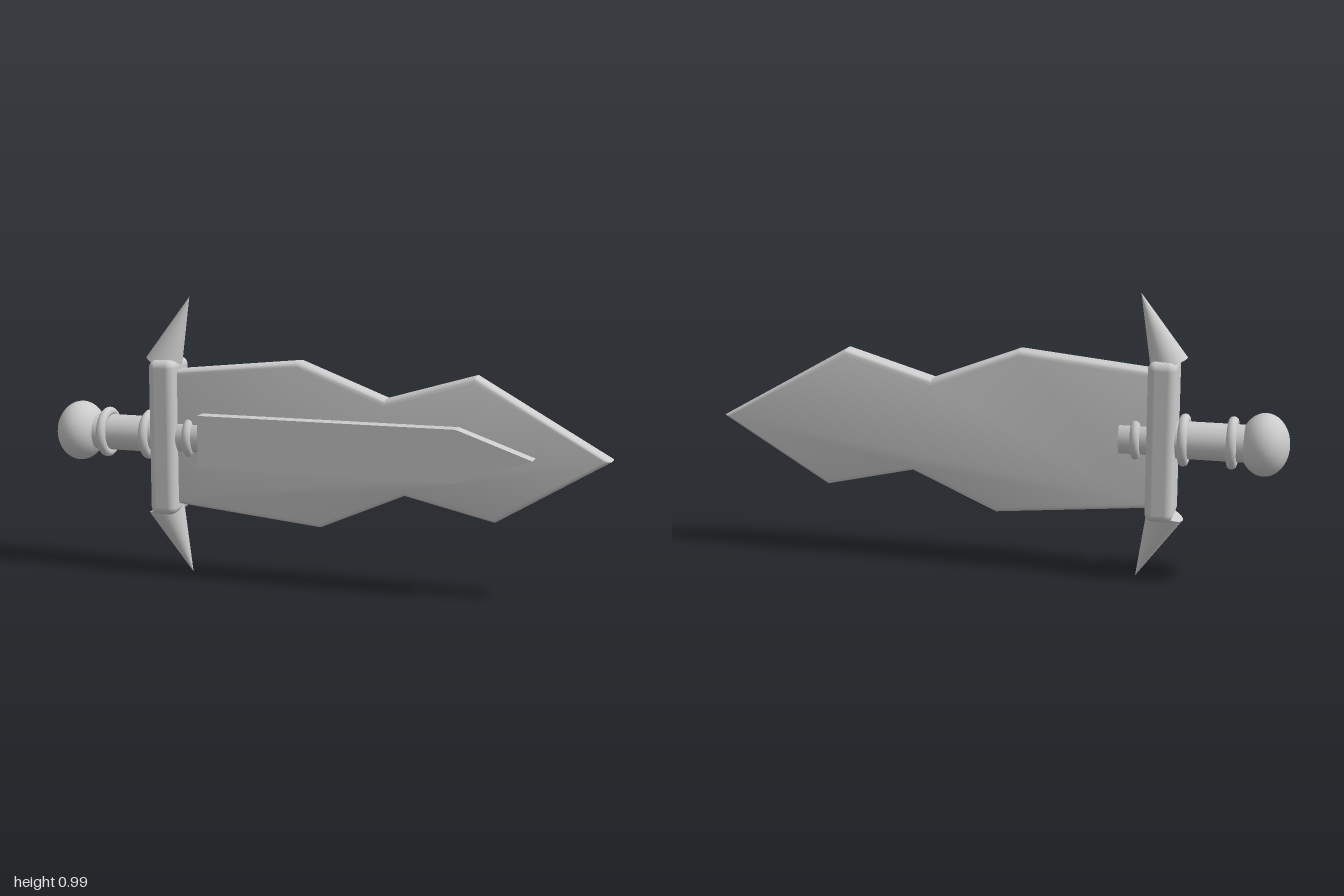
import * as THREE from 'three';
import { toCreasedNormals } from 'three/addons/utils/BufferGeometryUtils.js';
import { RoundedBoxGeometry } from 'three/addons/geometries/RoundedBoxGeometry.js';

const MID = 0.5; // height of the long axis

export function createModel() {
  const group = new THREE.Group();
  const material = new THREE.MeshStandardMaterial({ color: 0xcccccc });

  const add = (name, geometry, x = 0, y = 0, z = 0) => {
    const mesh = new THREE.Mesh(geometry, material);
    mesh.name = name;
    mesh.position.set(x, y, z);
    group.add(mesh);
    return mesh;
  };
  const outline = (points) => new THREE.Shape(points.map(([x, y]) => new THREE.Vector2(x, y)));

  // Blade: notched leaf outline with softly rounded edges
  const bladeShape = outline([
    [-0.56, 0.262], [0, 0.208], [0.3, 0.34], [0.615, 0.268], [1, 0.5],
    [0.54, 0.762], [0.23, 0.67], [-0.08, 0.788], [-0.56, 0.738],
  ]);
  const bevel = 0.018;
  const blade = new THREE.ExtrudeGeometry(bladeShape, {
    depth: 0.08 - 2 * bevel, bevelEnabled: true, bevelSize: bevel,
    bevelThickness: bevel, bevelOffset: -bevel, bevelSegments: 4,
  });
  add('blade', toCreasedNormals(blade, 0.5), 0, 0, -0.04 + bevel);

  // Raised pointed panel on the front of the blade
  const panelShape = outline([
    [-0.43, 0.408], [0.49, 0.408], [0.75, 0.5], [0.49, 0.592], [-0.43, 0.592],
  ]);
  add('bladePanel', new THREE.ExtrudeGeometry(panelShape, { depth: 0.095, bevelEnabled: false }));

  // Crossguard bar
  add('guard', new RoundedBoxGeometry(0.097, 0.555, 0.166, 4, 0.028), -0.574, MID, 0);

  // Guard spikes, leaning towards the blade, mirrored top and bottom
  for (const side of [1, -1]) {
    const base = new THREE.Vector3(-0.59, MID + side * 0.258, 0);
    const tip = new THREE.Vector3(-0.49, MID + side * 0.497, 0);
    const axis = tip.clone().sub(base);
    const spike = add(side > 0 ? 'upperSpike' : 'lowerSpike',
      new THREE.ConeGeometry(0.066, axis.length(), 32));
    spike.position.copy(base).add(tip).multiplyScalar(0.5);
    spike.quaternion.setFromUnitVectors(new THREE.Vector3(0, 1, 0), axis.normalize());
  }

  // Grip, passing through the guard into the root of the blade
  const grip = new THREE.CylinderGeometry(0.064, 0.064, 0.47, 24).rotateZ(Math.PI / 2);
  add('grip', grip, -0.665, MID, 0);

  // Collar rings around the grip
  for (const [x, radius] of [[-0.81, 0.073], [-0.647, 0.073], [-0.486, 0.062]]) {
    add('collarRing', new THREE.TorusGeometry(radius, 0.017, 12, 40).rotateY(Math.PI / 2), x, MID, 0);
  }

  // Pommel: ball flattened along the grip
  const pommel = new THREE.SphereGeometry(0.107, 32, 20).rotateZ(Math.PI / 2).scale(0.083 / 0.107, 1, 1);
  add('pommel', pommel, -0.917, MID, 0);

  return group;
}
